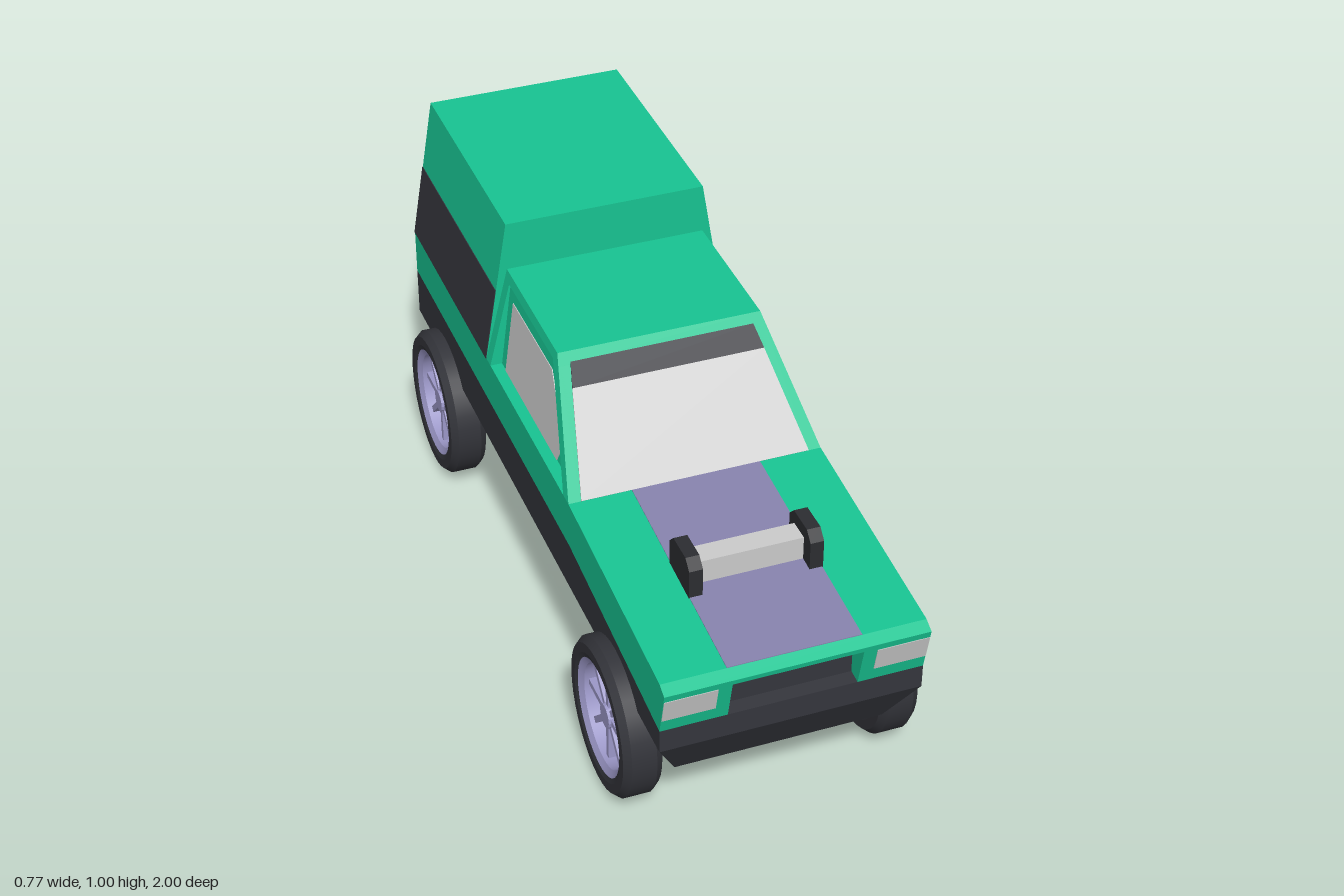
import * as THREE from 'three';

const mat = (color, flatShading = true) => new THREE.MeshStandardMaterial({ color, flatShading });
const green = mat(0x18c492), dark = mat(0x34353c), black = mat(0x2c2d31), glass = mat(0xbcbcbc);
const stripe = mat(0x8682ac), red = mat(0xc03434), silver = mat(0xcccccc);
const rubber = mat(0x33343a, false), alloy = mat(0x9c98c8), alloySmooth = mat(0x9c98c8, false);

// Solid from a side outline of [z, y, x1, x0 = -x1] corners, spanning x0..x1 at each corner
function slab(parent, name, material, outline) {
  let p = outline.map(([z, y, x1, x0 = -x1]) => ({ z, y, x1, x0 }));
  let flat = p.map(c => new THREE.Vector2(-c.z, c.y));
  if (THREE.ShapeUtils.area(flat) < 0) { p.reverse(); flat.reverse(); }
  const pos = [];
  const put = (c, side) => pos.push(c[side], c.y, c.z);
  for (const [a, b, c] of THREE.ShapeUtils.triangulateShape(flat, [])) {
    put(p[a], 'x1'); put(p[b], 'x1'); put(p[c], 'x1');
    put(p[a], 'x0'); put(p[c], 'x0'); put(p[b], 'x0');
  }
  p.forEach((a, i) => {
    const b = p[(i + 1) % p.length];
    put(a, 'x1'); put(a, 'x0'); put(b, 'x0');
    put(a, 'x1'); put(b, 'x0'); put(b, 'x1');
  });
  const geo = new THREE.BufferGeometry();
  geo.setAttribute('position', new THREE.Float32BufferAttribute(pos, 3));
  geo.computeVertexNormals();
  const mesh = new THREE.Mesh(geo, material);
  mesh.name = name;
  parent.add(mesh);
}

// The same solid on both sides of the model
function pair(parent, name, material, outline) {
  slab(parent, name + 'Left', material, outline);
  slab(parent, name + 'Right', material, outline.map(([z, y, x1, x0]) => [z, y, -x0, -x1]));
}

const W = 0.335;
const cabX = y => W - 0.065 * (y - 0.605) / 0.265;      // outer cab side
const innerX = y => 0.303 - 0.031 * (y - 0.605) / 0.24; // recessed window plane
const cargoX = y => W - 0.065 * (y - 0.605) / 0.4;      // cargo box side
const screenZ = y => 0.33 - 0.26 * (y - 0.605) / 0.265; // windscreen slope
const noseZ = y => 0.97 + 0.03 * (y - 0.405) / 0.13;    // front face slope

function buildBody(g) {
  // Dark lower hull with tapered underside
  slab(g, 'lowerHull', dark, [[0.97, 0.405, W], [0.33, 0.475, W], [-1, 0.475, W], [-1, 0.34, W], [0.97, 0.34, W]]);
  slab(g, 'underside', dark, [[0.97, 0.34, W], [-1, 0.34, W], [-0.7, 0.21, 0.27], [0.9, 0.21, 0.27]]);

  // Green belt, nose and recessed grille
  slab(g, 'bodyBelt', green, [[0.93, 0.409, W], [0.93, 0.5534, W], [0.33, 0.605, W], [-1, 0.605, W], [-1, 0.475, W], [0.33, 0.475, W]]);
  slab(g, 'noseTop', green, [[0.93, 0.5, W], [noseZ(0.52), 0.52, W], [1, 0.535, W], [0.97, 0.55, W], [0.93, 0.5534, W]]);
  pair(g, 'noseSide', green, [[0.93, 0.409, W, 0.165], [0.97, 0.405, W, 0.165], [noseZ(0.52), 0.52, W, 0.165], [0.93, 0.5, W, 0.165]]);
  slab(g, 'grille', dark, [[0.933, 0.405, 0.165], [0.933, 0.502, 0.165], [0.92, 0.502, 0.165], [0.92, 0.405, 0.165]]);
  pair(g, 'headlight', glass, [0.445, 0.515].map(y => [noseZ(y) + 0.002, y, 0.334, 0.2])
    .concat([0.515, 0.445].map(y => [noseZ(y) - 0.01, y, 0.334, 0.2])));
  pair(g, 'tailLight', red, [[-1.002, 0.405, 0.334, 0.2], [-1.002, 0.475, 0.334, 0.2], [-0.99, 0.475, 0.334, 0.2], [-0.99, 0.405, 0.334, 0.2]]);

  // Hood stripe and the bar between two posts
  slab(g, 'hoodStripe', stripe, [[0.97, 0.552, 0.17], [0.33, 0.607, 0.17], [0.33, 0.595, 0.17], [0.97, 0.54, 0.17]]);
  pair(g, 'hoodPost', black, [[0.73, 0.56], [0.73, 0.65], [0.705, 0.675], [0.625, 0.675], [0.6, 0.65], [0.6, 0.56]]
    .map(([z, y]) => [z, y, 0.172, 0.137]));
  slab(g, 'hoodBar', silver, [[0.69, 0.572], [0.69, 0.64], [0.63, 0.64], [0.63, 0.572]].map(([z, y]) => [z, y, 0.138]));
}

function buildCab(g) {
  const lo = 0.605, hi = 0.845;
  slab(g, 'cabCore', green, [[0.33, lo, innerX(lo)], [screenZ(hi), hi, innerX(hi)], [-0.335, hi, innerX(hi)], [-0.335, lo, innerX(lo)]]);
  slab(g, 'cabRoof', green, [[screenZ(hi), hi, cabX(hi)], [0.07, 0.87, 0.27], [-0.335, 0.87, 0.27], [-0.335, hi, cabX(hi)]]);
  const pillar = (z, y) => [z, y, cabX(y), 0.25];
  pair(g, 'frontPillar', green, [pillar(0.33, lo), pillar(screenZ(hi), hi), pillar(0.052, hi), pillar(0.29, lo)]);
  pair(g, 'rearPillar', green, [pillar(-0.3, lo), pillar(-0.3, hi), pillar(-0.335, hi), pillar(-0.335, lo)]);

  // Glazing
  pair(g, 'sideWindow', glass, [[0.15, lo], [0.18, 0.67], [0.05, 0.81], [-0.265, 0.81], [-0.265, lo]]
    .map(([z, y]) => [z, y, innerX(y) + 0.002, innerX(y) - 0.01]));
  const pane = (name, material, y0, x0, y1, x1) => slab(g, name, material, [
    [screenZ(y0) + 0.002, y0 + 0.002, x0], [screenZ(y1) + 0.002, y1 + 0.002, x1],
    [screenZ(y1) - 0.008, y1 - 0.008, x1], [screenZ(y0) - 0.008, y0 - 0.008, x0]]);
  pane('windscreen', glass, lo, 0.302, 0.803, 0.255);
  pane('sunStrip', dark, 0.803, 0.255, 0.85, 0.243);
}

function buildCargo(g) {
  const box = (z, y) => [z, y, cargoX(y)];
  slab(g, 'cargoBox', green, [box(-0.335, 0.605), box(-0.335, 1.005), box(-1, 1.005), box(-1, 0.605)]);
  const band = (z, y) => [z, y, cargoX(y) + 0.002, cargoX(y) - 0.01];
  pair(g, 'cargoSideBand', dark, [band(-0.336, 0.605), band(-0.336, 0.81), band(-0.999, 0.81), band(-0.999, 0.605)]);
}

// Wheel turned around y, with its outer face at +y, later laid along x
function buildWheel() {
  const wheel = new THREE.Group();
  const add = (name, geo, material) => {
    const m = new THREE.Mesh(geo, material);
    m.name = name;
    wheel.add(m);
    return m;
  };
  // Doubled corners keep the edges of the profile crisp
  const lathe = pts => {
    const parts = [];
    for (let i = 0; i < pts.length - 1; i++) {
      parts.push(new THREE.LatheGeometry([pts[i], pts[i + 1]].map(([r, y]) => new THREE.Vector2(r, y)), 36));
    }
    return parts;
  };
  const tyre = [[0.152, -0.046], [0.165, -0.05], [0.19, -0.05], [0.205, -0.032], [0.205, 0.032], [0.19, 0.05], [0.165, 0.05], [0.152, 0.046]];
  lathe(tyre).forEach(geo => add('tyre', geo, rubber));
  const rim = [[0.135, -0.035], [0.156, -0.046], [0.156, 0.046], [0.135, 0.035], [0.135, -0.035]];
  lathe(rim).forEach(geo => add('rim', geo, alloySmooth));
  add('hub', new THREE.CylinderGeometry(0.032, 0.036, 0.05, 16), alloy).position.y = 0.005;
  for (let i = 0; i < 8; i++) {
    const a = i * Math.PI / 4;
    const spoke = add('spoke', new THREE.BoxGeometry(0.118, 0.022, 0.017), alloy);
    spoke.position.set(Math.cos(a) * 0.082, 0.012, -Math.sin(a) * 0.082);
    spoke.rotation.y = a;
  }
  return wheel;
}

export function createModel() {
  const model = new THREE.Group();
  model.name = 'pickup';
  for (const [name, build] of [['body', buildBody], ['cab', buildCab], ['cargo', buildCargo]]) {
    const g = new THREE.Group();
    g.name = name;
    build(g);
    model.add(g);
  }
  for (const [end, z] of [['front', 0.667], ['rear', -0.735]]) {
    for (const side of [1, -1]) {
      const wheel = buildWheel();
      wheel.name = end + 'Wheel' + (side > 0 ? 'Left' : 'Right');
      wheel.position.set(side * 0.335, 0.205, z);
      wheel.rotation.z = -side * Math.PI / 2;
      model.add(wheel);
    }
  }
  return model;
}
